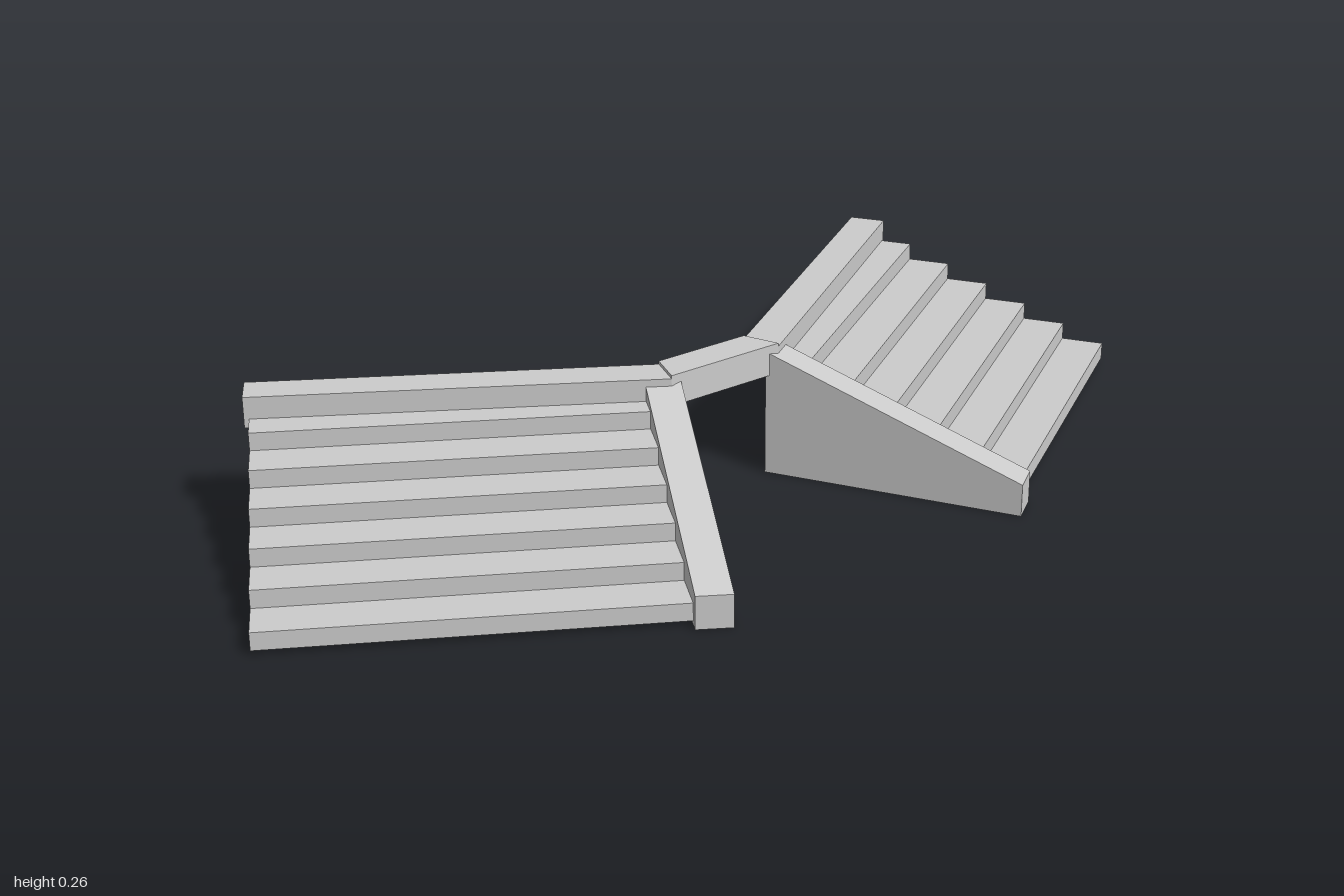
import * as THREE from 'three';

const material = new THREE.MeshStandardMaterial({ color: 0xcccccc, flatShading: true, side: THREE.DoubleSide });

// Mesh from four-cornered panels; side = -1 mirrors it across z = 0
function panels(name, quads, side = 1) {
  const pos = [];
  for (const quad of quads) {
    const q = quad.map(([x, y, z]) => [x, y, z * side]);
    if (side < 0) q.reverse();
    for (const i of [0, 1, 2, 0, 2, 3]) pos.push(...q[i]);
  }
  const geo = new THREE.BufferGeometry();
  geo.setAttribute('position', new THREE.Float32BufferAttribute(pos, 3));
  geo.computeVertexNormals();
  const mesh = new THREE.Mesh(geo, material);
  mesh.name = name;
  return mesh;
}

// Solid on a four-cornered plan [x, z], with its own top height at each corner
function prism(name, plan, bottom, tops, side = 1) {
  const lo = plan.map(([x, z]) => [x, bottom, z]);
  const hi = plan.map(([x, z], i) => [x, tops[i], z]);
  const quads = [hi, [...lo].reverse()];
  for (let i = 0; i < 4; i++) {
    const j = (i + 1) % 4;
    quads.push([lo[i], lo[j], hi[j], hi[i]]);
  }
  return panels(name, quads, side);
}

// Hollow stair shell, open underneath and against the sloping side wall
function stairs(side) {
  const count = 6, base = 0.008;
  const outer = (k, y) => [0.03 - 0.0723 * k, y, 1 - 0.0428 * k];
  const inner = (k, y) => [0.4 - 0.0733 * k, y, 0.382 - 0.0392 * k];
  const quads = [];
  let below = base, top;
  for (let k = 0; k < count; k++) {
    top = 0.041 + 0.0335 * k;
    quads.push(
      [outer(k, below), inner(k, below), inner(k, top), outer(k, top)], // riser
      [outer(k, top), inner(k, top), inner(k + 1, top), outer(k + 1, top)], // tread
      [outer(k + 1, base), outer(k, base), outer(k, top), outer(k + 1, top)], // end wall
    );
    below = top;
  }
  // back wall
  quads.push([inner(count, base), outer(count, base), outer(count, top), inner(count, top)]);
  return panels('steps', quads, side);
}

export function createModel() {
  const model = new THREE.Group();
  model.name = 'doubleStairs';

  for (const side of [1, -1]) {
    const wing = new THREE.Group();
    wing.name = side > 0 ? 'frontStair' : 'backStair';
    wing.add(stairs(side));
    // sloping side wall beside the steps
    wing.add(prism('slopingSideWall',
      [[-0.025, 0.155], [0.415, 0.39], [0.45, 0.335], [0.01, 0.1]],
      0, [0.243, 0.062, 0.062, 0.243], side));
    // ledge along the top of the steps
    wing.add(prism('topLedge',
      [[-0.053, 0.1], [-0.45, 0.725], [-0.39, 0.762], [0.017, 0.125]],
      0.192, [0.25, 0.25, 0.25, 0.25], side));
    model.add(wing);
  }

  // short beam joining the two ledges
  model.add(prism('bridgeBeam',
    [[-0.053, -0.1], [-0.053, 0.1], [0.017, 0.125], [0.017, -0.125]],
    0.197, [0.256, 0.256, 0.256, 0.256]));

  return model;
}
